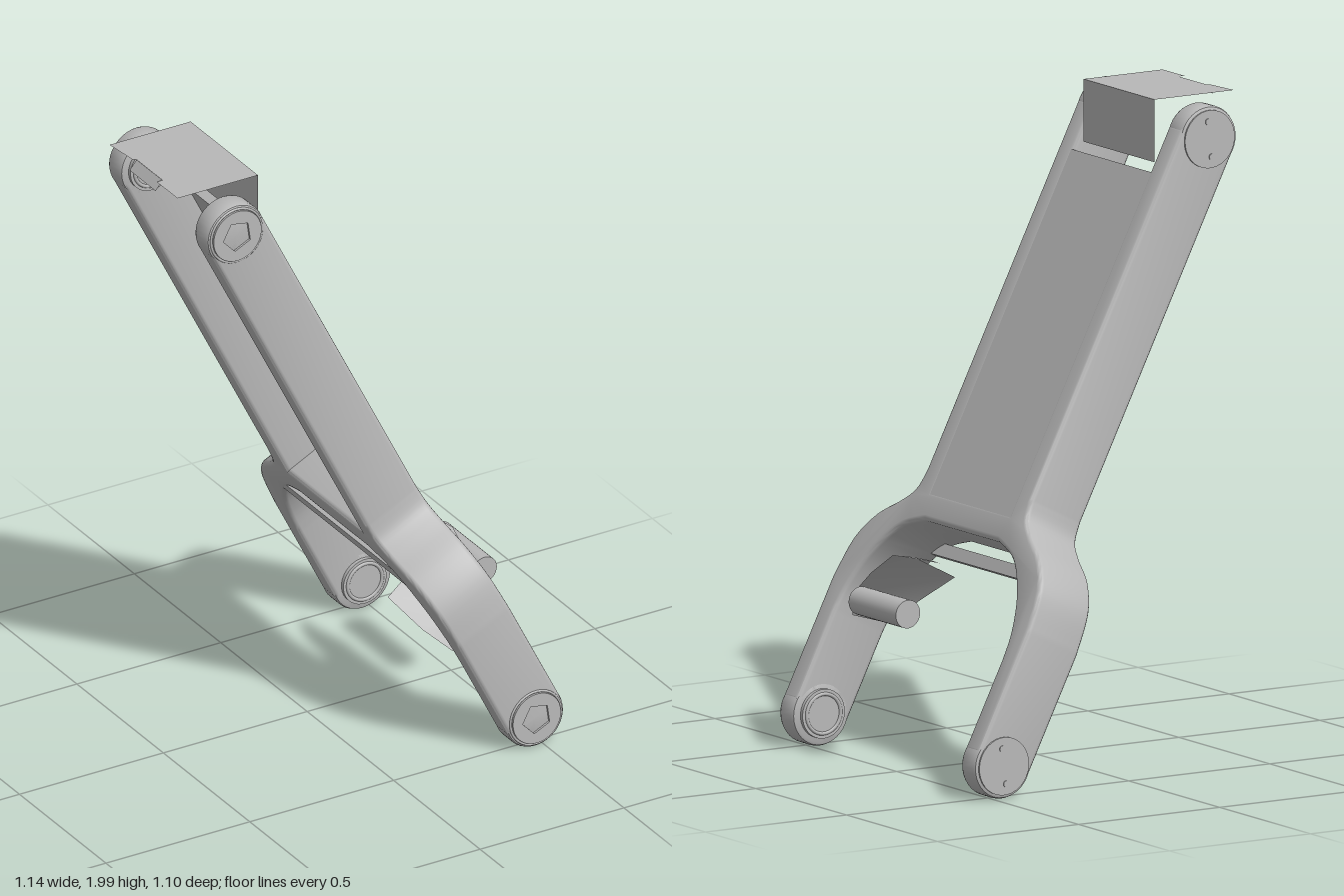
import * as THREE from 'three';
import { toCreasedNormals } from 'three/addons/utils/BufferGeometryUtils.js';

export function createModel() {
  const model = new THREE.Group();
  model.name = 'swingArm';
  const grey = new THREE.MeshStandardMaterial({ color: 0xb8b8b8, side: THREE.DoubleSide });
  grey.name = 'grey';

  const add = (parent, name, geometry, x = 0, y = 0, z = 0) => {
    const mesh = new THREE.Mesh(geometry, grey);
    mesh.name = name;
    mesh.position.set(x, y, z);
    parent.add(mesh);
    return mesh;
  };
  const v = (x, y) => new THREE.Vector2(x, y);
  const spline = (pts, n) => new THREE.SplineCurve(pts.map(p => v(...p))).getPoints(n);

  // The arm is built upright: y runs along it, x is its depth, the upper pivot is the origin
  const arm = new THREE.Group();
  arm.name = 'arm';
  arm.position.set(-0.42, 1.88, 0);
  arm.rotation.z = 0.466;
  model.add(arm);
  const length = 1.981, radius = 0.1, bevel = 0.015;

  // Frame: two rails flaring into a wide fork, joined by an arch
  const outer = spline([[0.29, -1.2], [0.306, -1.262], [0.36, -1.31], [0.45, -1.37],
    [0.515, -1.46], [0.54, -1.59]], 24);
  const inner = spline([[0.46, -1.69], [0.448, -1.6], [0.4, -1.49], [0.31, -1.39],
    [0.2, -1.349]], 18);
  const half = [v(0.29, 0), ...outer, v(0.54, -length), v(0.46, -length), ...inner];
  const mirrored = half.map(p => v(-p.x, p.y)).reverse();
  const outline = [...half, ...mirrored, v(-0.21, 0), v(-0.21, -1.26), v(0.21, -1.26), v(0.21, 0)];
  const frame = new THREE.ExtrudeGeometry(new THREE.Shape(outline), {
    depth: 2 * (radius - bevel), bevelThickness: bevel, bevelSize: bevel,
    bevelOffset: -bevel, bevelSegments: 3,
  });
  frame.translate(0, 0, bevel - radius).rotateY(Math.PI / 2);
  add(arm, 'forkFrame', toCreasedNormals(frame, 0.6));

  // Web plate closing the channel on one side, and the brace behind the arch
  add(arm, 'webPlate', new THREE.BoxGeometry(0.03, 1.14, 0.5), 0.084, -0.727, 0);
  add(arm, 'archBrace', new THREE.BoxGeometry(0.03, 0.04, 0.76), -0.083, -1.4, 0);

  // Rounded eyes at the ends of the rails, with pin caps on both faces
  const b = 0.012, h = 0.04;
  const eye = new THREE.LatheGeometry([v(0, -h), v(radius - b, -h), v(radius - b * 0.3, -h + b * 0.3),
    v(radius, -h + b), v(radius, h - b), v(radius - b * 0.3, h - b * 0.3), v(radius - b, h), v(0, h)], 40);
  const eyeGeometry = toCreasedNormals(eye.rotateX(Math.PI / 2), 0.5);

  const socketShape = new THREE.Shape().absarc(0, 0, 0.083, 0, Math.PI * 2);
  const pentagon = [0, 1, 2, 3, 4].map(i => {
    const a = i * Math.PI * 0.4 + 0.3;
    return v(0.05 * Math.cos(a), 0.05 * Math.sin(a));
  });
  socketShape.holes.push(new THREE.Path(pentagon));
  const socket = new THREE.ExtrudeGeometry(socketShape, { depth: 0.007, bevelEnabled: false, curveSegments: 32 });
  const disc = (r, t) => new THREE.CylinderGeometry(r, r, t, 32).rotateX(Math.PI / 2);

  for (const [y, z] of [[0, 0.25], [-length, 0.5]]) {
    for (const side of [1, -1]) {
      add(arm, 'pivotEye', eyeGeometry, 0, y, side * z);
      add(arm, 'innerCap', disc(0.075, 0.014), 0, y, side * (z - h - 0.005));
      add(arm, 'innerCapRing', new THREE.TorusGeometry(0.06, 0.006, 8, 32), 0, y, side * (z - h - 0.011));
    }
    add(arm, 'socketCap', socket, 0, y, z + h);
    add(arm, 'socketRim', new THREE.TorusGeometry(0.088, 0.004, 8, 36), 0, y, z + h);
    add(arm, 'plainCap', disc(0.088, 0.01), 0, y, -z - h);
    for (const s of [1, -1]) add(arm, 'capStud', disc(0.01, 0.008), s * 0.03, y + s * 0.045, -z - h - 0.004);
  }

  // Bent cover between the upper eyes: top sheet, front sheet and small lip
  const cover = new THREE.Group();
  cover.name = 'upperCover';
  model.add(cover);
  const sheet = new THREE.Shape([v(-0.285, -0.19), v(-0.565, -0.19), v(-0.565, -0.07), v(-0.545, -0.07),
    v(-0.545, 0.08), v(-0.555, 0.085), v(-0.567, 0.2), v(-0.285, 0.2)]);
  add(cover, 'coverTop', new THREE.ShapeGeometry(sheet).rotateX(-Math.PI / 2), 0, 1.999, 0);
  add(cover, 'coverFront', new THREE.PlaneGeometry(0.39, 0.19).rotateY(Math.PI / 2), -0.285, 1.904, -0.005);
  const lip = add(cover, 'coverLip', new THREE.PlaneGeometry(0.038, 0.15).rotateX(-Math.PI / 2), -0.557, 1.984, -0.005);
  lip.rotation.z = 0.9;

  // Curved guard inside the fork: pairs of edge points joined into a strip
  const rows = [
    [0.345, 0.625, 0, 0.345, 0.625, 0],
    [0.365, 0.625, 0.1, 0.305, 0.612, 0.1],
    [0.385, 0.622, 0.2, 0.285, 0.6, 0.24],
    [0.385, 0.55, 0.32, 0.10, 0.51, 0.3],
    [0.385, 0.47, 0.42, 0.16, 0.43, 0.4],
    [0.37, 0.4, 0.445, 0.235, 0.36, 0.45],
  ];
  const index = [];
  for (let i = 0; i < rows.length - 1; i++) {
    const k = i * 2;
    index.push(k, k + 1, k + 2, k + 1, k + 3, k + 2);
  }
  const guard = new THREE.BufferGeometry();
  guard.setAttribute('position', new THREE.Float32BufferAttribute(rows.flat(), 3));
  guard.setIndex(index);
  guard.computeVertexNormals();
  add(model, 'curvedGuard', guard);

  // Short loose pin in the fork
  add(model, 'shortPin', disc(0.043, 0.26), 0.46, 0.483, 0.13);

  return model;
}
